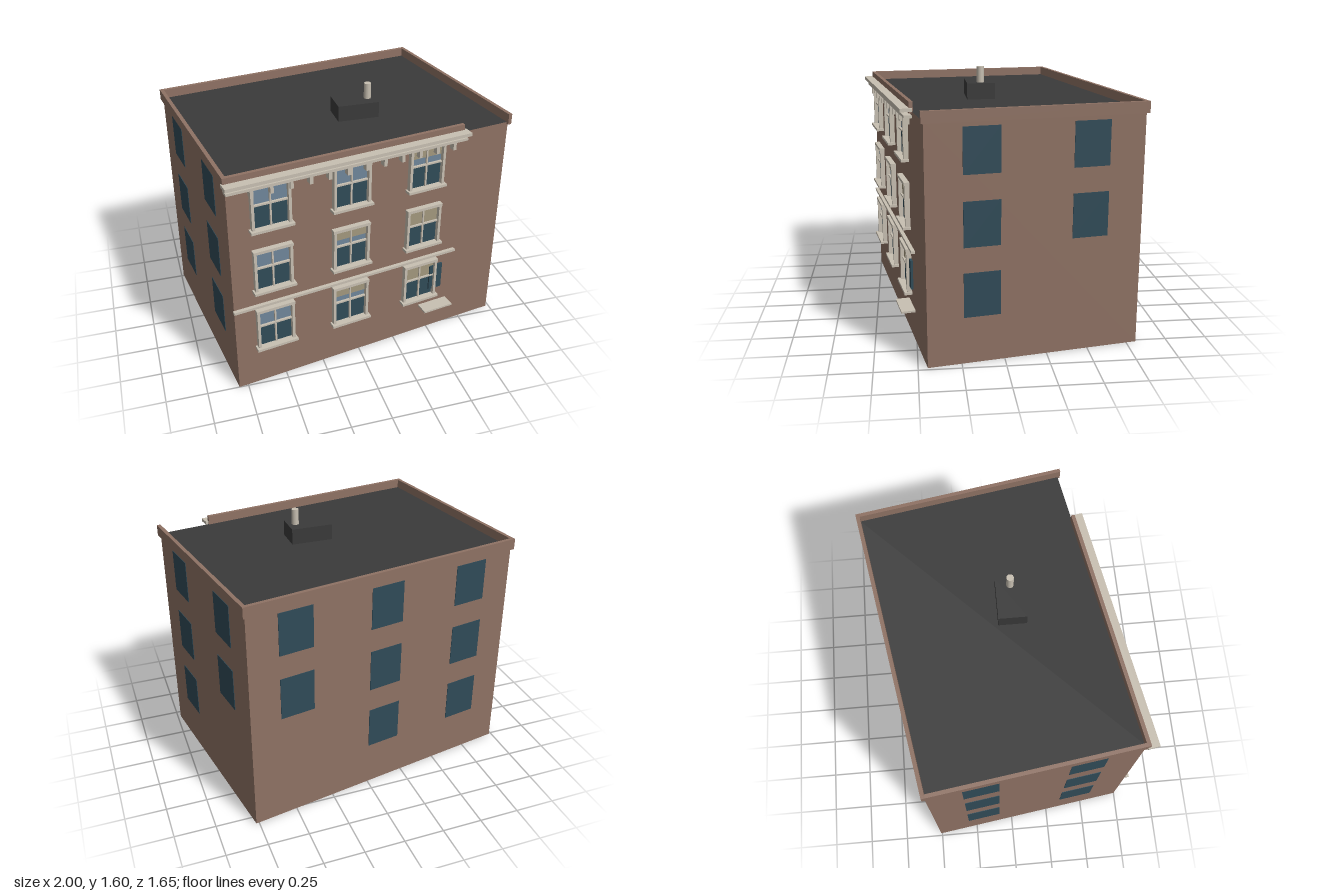
import * as THREE from 'three';

const mat = (name, color) => {
  const m = new THREE.MeshStandardMaterial({ color });
  m.name = name;
  return m;
};

export function createModel() {
  const brick = mat('brick', 0x8f7264);
  const roofing = mat('roofing', 0x3a3a3a);
  const trim = mat('stone trim', 0xc8c0b2);
  const darkGlass = mat('dark glass', 0x304b58);
  const skyGlass = mat('pale glass', 0x6f869a);
  const shade = mat('window shade', 0xa3987e);

  const model = new THREE.Group();
  model.name = 'building';

  // box given by its min and max on each axis
  const box = (parent, name, material, x0, x1, y0, y1, z0, z1) => {
    const m = new THREE.Mesh(new THREE.BoxGeometry(x1 - x0, y1 - y0, z1 - z0), material);
    m.position.set((x0 + x1) / 2, (y0 + y1) / 2, (z0 + z1) / 2);
    m.name = name;
    parent.add(m);
    return m;
  };

  // footprint corners (x, z): front left, front right, back right, back left as seen from the front
  const corners = [[-0.805, 0.75], [0.98, 0.445], [0.768, -0.81], [-0.985, -0.508]];
  const wallTop = 1.405;

  // brick body with dark roof and underside
  const plan = new THREE.Shape(corners.map(([x, z]) => new THREE.Vector2(x, -z)));
  const bodyGeo = new THREE.ExtrudeGeometry(plan, { depth: wallTop, bevelEnabled: false });
  bodyGeo.rotateX(-Math.PI / 2);
  const body = new THREE.Mesh(bodyGeo, [roofing, brick]);
  body.name = 'walls and roof';
  model.add(body);

  // one group per wall: local x runs along it, z points outward
  const walls = ['frontWall', 'rightWall', 'backWall', 'leftWall'].map((name, i) => {
    const [x0, z0] = corners[i], [x1, z1] = corners[(i + 1) % 4];
    const group = new THREE.Group();
    group.name = name;
    group.position.set(x0, 0, z0);
    group.rotation.y = Math.atan2(z0 - z1, x1 - x0);
    model.add(group);
    return { group, length: Math.hypot(x1 - x0, z1 - z0) };
  });
  const facade = 1.486; // decorated length of the front
  const rows = [0.28, 0.692, 1.104];
  const openH = 0.263;

  // parapets; the front one stops at the end of the facade
  walls.forEach(({ group, length }, i) => {
    box(group, 'parapet', brick, -0.015, i === 0 ? facade : length + 0.015, 1.393, 1.46, -0.008, 0.015);
  });

  // plain windows: fractions along each wall and the lowest row used
  const plain = [
    [],
    [[0.25, 0], [0.75, 1]],
    [[1 / 6, 1], [0.5, 0], [5 / 6, 0]],
    [[0.25, 0], [0.75, 0]],
  ];
  plain.forEach((cols, i) => {
    const { group, length } = walls[i];
    for (const [f, first] of cols) {
      for (const y of rows.slice(first)) {
        const c = f * length;
        box(group, 'plainWindow', darkGlass, c - 0.107, c + 0.107, y, y + openH, -0.002, 0.003);
      }
    }
  });

  // framed sash windows on the front; blind = share of the upper sash covered
  const front = walls[0].group;
  const sashWindow = (cx, y, blind) => {
    const w = new THREE.Group();
    w.name = 'sashWindow';
    w.position.set(cx, y, 0);
    front.add(w);
    const mid = 0.148, h = openH, hw = 0.107;
    box(w, 'lowerGlass', darkGlass, -hw, hw, 0, mid, -0.002, 0.004);
    box(w, 'upperGlass', skyGlass, -hw, hw, mid, h, -0.002, 0.004);
    if (blind) box(w, 'blind', shade, -hw, hw, h - (h - mid) * blind, h, 0.001, 0.007);
    for (const s of [-1, 1]) {
      const x = s * 0.11;
      box(w, 'jamb', trim, x - 0.0085, x + 0.0085, 0, h, 0, 0.03);
    }
    box(w, 'head', trim, -0.121, 0.121, h - 0.008, h + 0.01, 0, 0.034);
    box(w, 'sill', trim, -0.13, 0.13, -0.014, 0.002, 0, 0.048);
    box(w, 'meetingRail', trim, -hw, hw, mid - 0.005, mid + 0.005, 0, 0.018);
    box(w, 'mullion', trim, -0.005, 0.005, 0, h, 0, 0.015);
  };
  const blinds = [[0, 0.65, 1], [0, 0.65, 1], [0, 0, 0.6]];
  rows.forEach((y, r) => {
    for (let c = 0; c < 3; c++) sashWindow(facade * (2 * c + 1) / 6, y, blinds[r][c]);
  });

  // cornice, belt course and brackets
  box(front, 'upperCornice', trim, -0.022, 1.504, 1.405, 1.425, 0, 0.07);
  box(front, 'lowerCornice', trim, -0.012, 1.495, 1.368, 1.384, 0, 0.046);
  box(front, 'beltCourse', trim, -0.006, 1.49, 0.569, 0.585, 0, 0.023);
  for (let i = 0; i < 12; i++) {
    const x = 0.134 + i * 0.116;
    box(front, 'bracket', trim, x - 0.01, x + 0.01, 1.32, 1.368, 0, 0.04);
  }

  // entrance panel and step slab
  box(front, 'entrancePanel', darkGlass, 1.314, 1.406, 0.315, 0.495, 0, 0.014);
  box(front, 'stepSlab', trim, 1.252, 1.458, 0.189, 0.201, 0, 0.085);

  // rooftop box with vent pipe
  box(model, 'roofBox', roofing, -0.006, 0.252, wallTop - 0.01, 1.503, -0.014, 0.157);
  const pipe = new THREE.Mesh(new THREE.CylinderGeometry(0.022, 0.022, 0.1, 10), trim);
  pipe.position.set(0.204, 1.55, 0.073);
  pipe.name = 'ventPipe';
  model.add(pipe);

  return model;
}
